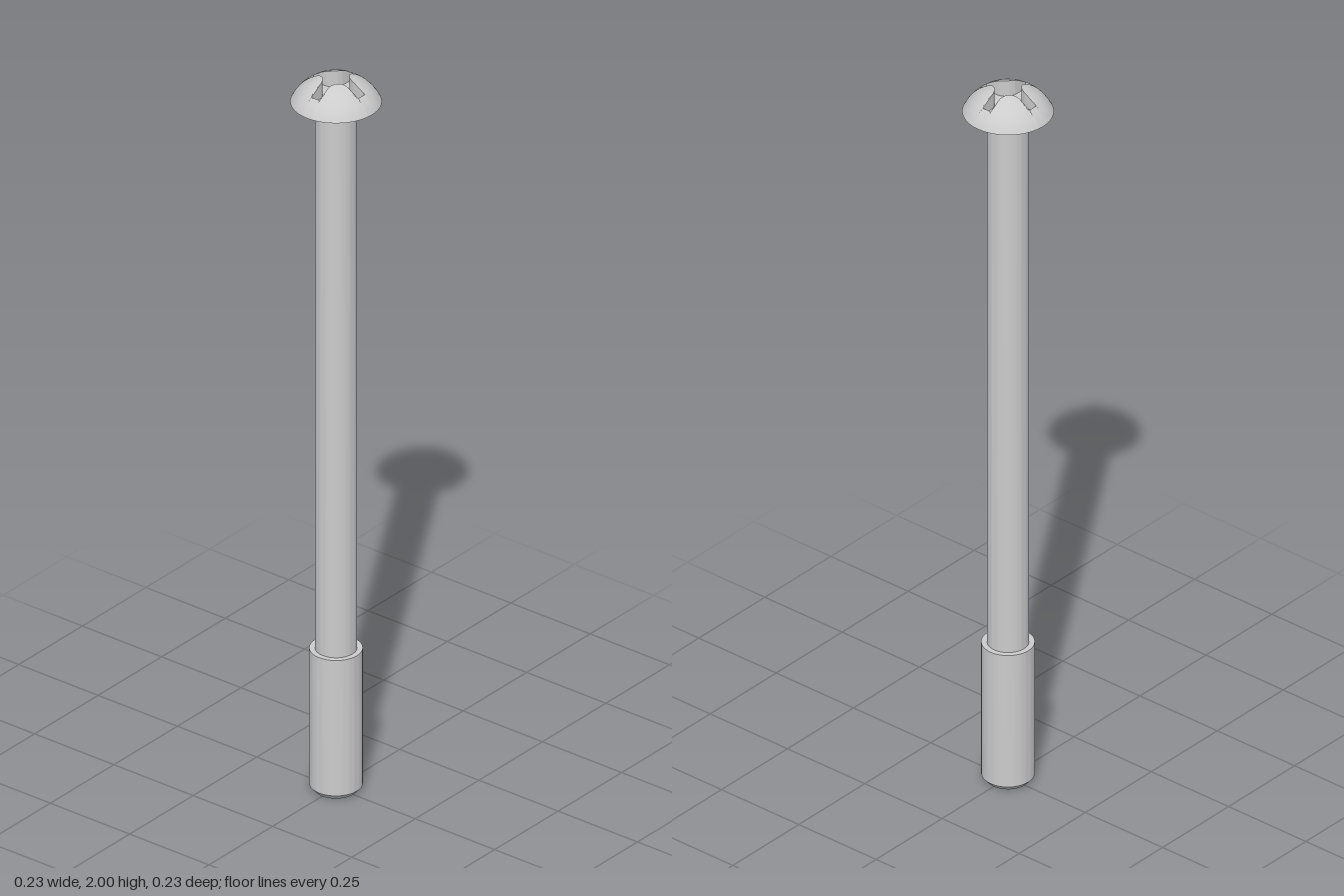
import * as THREE from 'three';
import { toCreasedNormals } from 'three/addons/utils/BufferGeometryUtils.js';

const SHANK_R = 0.052, THREAD_R = 0.066, THREAD_TOP = 0.395;
const HEAD_R = 0.113, HEAD_BASE = 1.933, HEAD_H = 0.071;
const SLOT_HALF = 0.0128, SLOT_REACH = 0.081, SLOT_FILLET = 0.036, SLOT_FLOOR = 1.955;

const material = new THREE.MeshStandardMaterial({ color: 0xcccccc });

function addPart(group, name, geometry) {
  const mesh = new THREE.Mesh(toCreasedNormals(geometry, 0.5), material);
  mesh.name = name;
  group.add(mesh);
}

function lathe(points) {
  return new THREE.LatheGeometry(points.map(([r, y]) => new THREE.Vector2(r, y)), 64);
}

// Height of the spherical dome at distance r from the axis
function domeY(r) {
  const R = (HEAD_R ** 2 + HEAD_H ** 2) / (2 * HEAD_H);
  return HEAD_BASE + HEAD_H - R + Math.sqrt(R * R - r * r);
}

// Cross recess outline as polar points, one quarter repeated four times
function crossOutline() {
  const quarter = [], c = SLOT_HALF + SLOT_FILLET;
  for (let i = 0; i <= 4; i++) quarter.push([SLOT_REACH, SLOT_HALF * (i / 2 - 1)]);
  for (let i = 0; i <= 12; i++) {
    const a = -Math.PI / 2 - (i / 12) * Math.PI / 2;
    quarter.push([c + SLOT_FILLET * Math.cos(a), c + SLOT_FILLET * Math.sin(a)]);
  }
  const outline = [];
  for (let q = 0; q < 4; q++) {
    for (const [x, z] of quarter) {
      outline.push({ a: Math.atan2(z, x) + q * Math.PI / 2, r: Math.hypot(x, z) });
    }
  }
  return outline;
}

// Rings run from the recess floor, up its wall, over the dome and under the rim
function headGeometry() {
  const outline = crossOutline(), n = outline.length, bands = 10;
  const rings = [
    outline.map(({ a }) => [0, SLOT_FLOOR, a]),
    outline.map(({ a, r }) => [r, SLOT_FLOOR, a]),
  ];
  for (let k = 0; k <= bands; k++) {
    rings.push(outline.map(({ a, r }) => {
      const d = THREE.MathUtils.lerp(r, HEAD_R, k / bands);
      return [d, domeY(d), a];
    }));
  }
  rings.push(outline.map(({ a }) => [SHANK_R * 0.9, HEAD_BASE, a]));

  const positions = [], index = [];
  for (const ring of rings) {
    for (const [r, y, a] of ring) positions.push(r * Math.cos(a), y, r * Math.sin(a));
  }
  for (let i = 0; i < rings.length - 1; i++) {
    for (let j = 0; j < n; j++) {
      const a = i * n + j, b = i * n + (j + 1) % n;
      if (i > 0) index.push(a, b, a + n);
      index.push(b, b + n, a + n);
    }
  }
  const geometry = new THREE.BufferGeometry();
  geometry.setAttribute('position', new THREE.Float32BufferAttribute(positions, 3));
  geometry.setIndex(index);
  return geometry;
}

export function createModel() {
  const screw = new THREE.Group();
  screw.name = 'screw';

  // Thicker end with a chamfered tip
  addPart(screw, 'threadedEnd', lathe([
    [0, 0], [THREAD_R - 0.012, 0], [THREAD_R, 0.014],
    [THREAD_R, THREAD_TOP], [SHANK_R * 0.9, THREAD_TOP],
  ]));

  // Plain shank
  addPart(screw, 'shank', lathe([[SHANK_R, THREAD_TOP], [SHANK_R, HEAD_BASE]]));

  // Domed head with cross recess
  addPart(screw, 'head', headGeometry());

  return screw;
}
